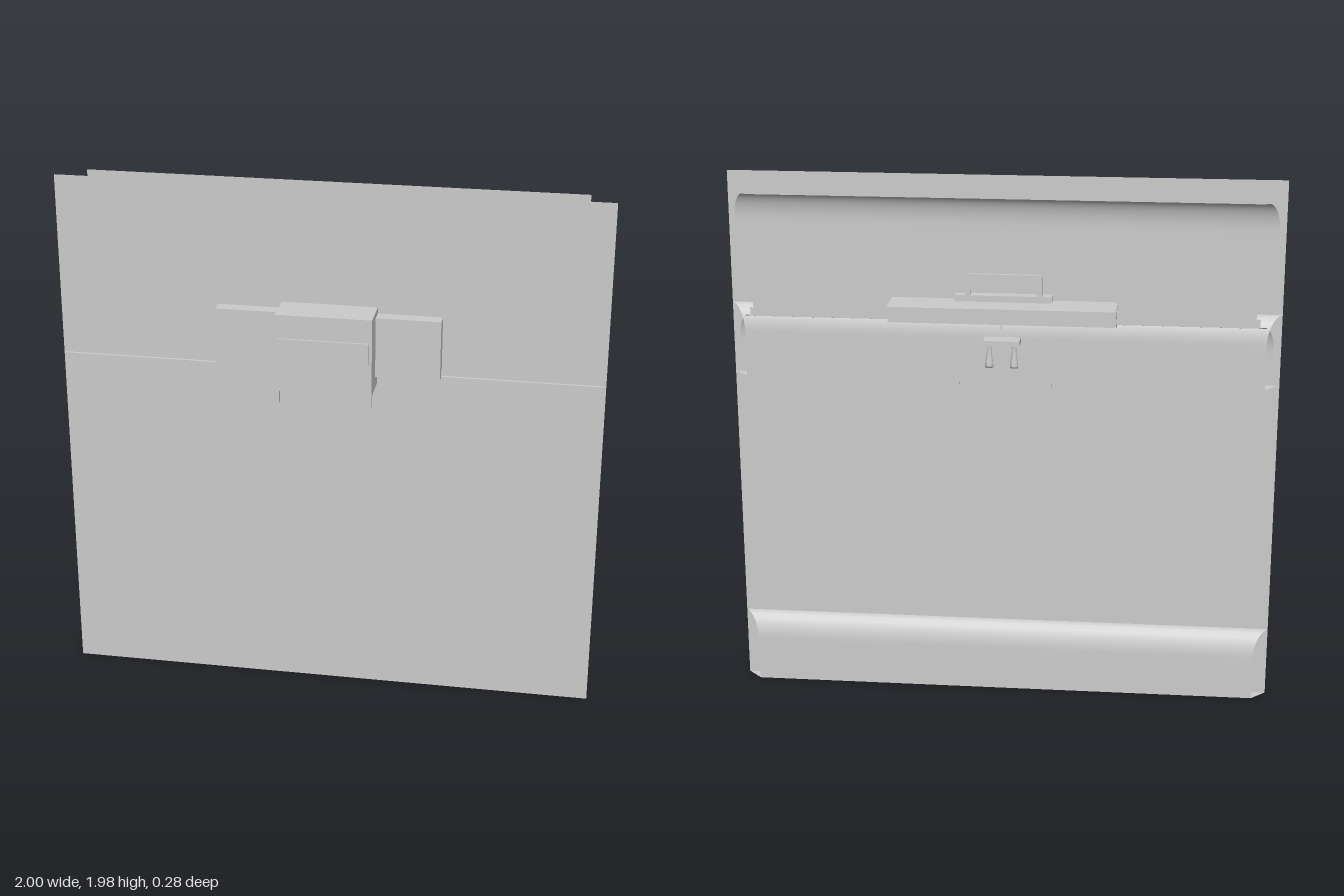
import * as THREE from 'three';
import { toCreasedNormals } from 'three/addons/utils/BufferGeometryUtils.js';

const material = new THREE.MeshStandardMaterial({ color: 0xcccccc, side: THREE.DoubleSide });

function add(parent, name, geometry, x = 0, y = 0, z = 0) {
  const mesh = new THREE.Mesh(geometry, material);
  mesh.name = name;
  mesh.position.set(x, y, z);
  parent.add(mesh);
  return mesh;
}

// Box given by its limits
function block(parent, name, [x0, x1], [y0, y1], [z0, z1]) {
  return add(parent, name, new THREE.BoxGeometry(x1 - x0, y1 - y0, z1 - z0),
    (x0 + x1) / 2, (y0 + y1) / 2, (z0 + z1) / 2);
}

// Quarter ellipse, as [depth, height] pairs
function arc(cd, ch, rd, rh, from, to, n = 12) {
  return Array.from({ length: n + 1 }, (_, i) => {
    const a = from + (to - from) * i / n;
    return [cd + rd * Math.cos(a), ch + rh * Math.sin(a)];
  });
}

// Stepped cove, from the wall upwards
const covePoints = [
  [0, 0], [0.013, 0], [0.013, 0.028], [0.025, 0.028],
  ...arc(0.07, 0.055, 0.045, 0.105, Math.PI, Math.PI / 2),
  [0.08, 0.16], [0.08, 0.193], [0.095, 0.193], [0.095, 0.225],
];
// Board with a rounded top, from its underside upwards
const boardPoints = [[0, 0], [0.054, 0], ...arc(0, 0.165, 0.054, 0.1, 0, Math.PI / 2)];

// Strip along the wall whose ends are mitred at 45 degrees
function mitredTrim(points) {
  const positions = [];
  for (let i = 0; i + 1 < points.length; i++) {
    const [d0, h0] = points[i], [d1, h1] = points[i + 1];
    const a = [-1 + d0, h0, -d0], b = [1 - d0, h0, -d0];
    const c = [1 - d1, h1, -d1], d = [-1 + d1, h1, -d1];
    positions.push(...a, ...c, ...b, ...a, ...d, ...c);
  }
  const geometry = new THREE.BufferGeometry();
  geometry.setAttribute('position', new THREE.Float32BufferAttribute(positions, 3));
  return toCreasedNormals(geometry, 0.5);
}

// Solid with a profile in z and y, extruded along x and centred
function extrudeAlongX(points, width) {
  const shape = new THREE.Shape(points.map(([d, h]) => new THREE.Vector2(d, h)));
  const geometry = new THREE.ExtrudeGeometry(shape, { depth: width, bevelEnabled: false });
  geometry.translate(0, 0, -width / 2).rotateY(Math.PI / 2);
  return toCreasedNormals(geometry, 0.5);
}

export function createModel() {
  const model = new THREE.Group();
  model.name = 'wallWithTrim';

  add(model, 'wall', new THREE.PlaneGeometry(2, 1.98), 0, 0.99, 0);

  // Long mitred trims on the back of the wall
  add(model, 'baseboard', mitredTrim(boardPoints));
  add(model, 'upperBoard', mitredTrim(boardPoints), 0, 1.228, 0);
  add(model, 'crownMoulding', mitredTrim(covePoints), 0, 1.75, 0);
  add(model, 'middleMoulding', mitredTrim(covePoints), 0, 1.3, 0.01);

  // Short solid cornice running through the wall
  const cornice = [...covePoints, [0, 0.225]].map(([d, h]) => [2 * d, h]);
  add(model, 'cornice', extrudeAlongX(cornice, 0.82), 0, 1.3, 0.05);

  // Cabinet with feet, drawer front and a rail above
  const cabinet = new THREE.Group();
  cabinet.name = 'cabinet';
  model.add(cabinet);
  block(cabinet, 'cabinetBody', [-0.175, 0.175], [1.255, 1.548], [-0.04, 0.135]);
  block(cabinet, 'drawerFront', [-0.163, 0.163], [1.38, 1.46], [0.13, 0.142]);
  for (const side of [-1, 1]) {
    for (const z of [-0.035, 0.127]) {
      block(cabinet, 'cabinetFoot', [side * 0.168 - 0.007, side * 0.168 + 0.007], [1.21, 1.26], [z - 0.008, z + 0.008]);
    }
  }
  block(cabinet, 'backStretcher', [-0.135, 0.135], [1.22, 1.24], [-0.048, -0.02]);

  const frame = new THREE.Shape();
  frame.moveTo(-0.14, 0).lineTo(-0.14, 0.07).quadraticCurveTo(-0.14, 0.082, -0.128, 0.082);
  frame.lineTo(0.128, 0.082).quadraticCurveTo(0.14, 0.082, 0.14, 0.07).lineTo(0.14, 0);
  frame.lineTo(0.12, 0).lineTo(0.12, 0.062).lineTo(-0.12, 0.062).lineTo(-0.12, 0);
  add(cabinet, 'topRail', new THREE.ExtrudeGeometry(frame, { depth: 0.012, bevelEnabled: false }), 0, 1.546, -0.044);

  // Small bracket table behind the upper board
  const table = new THREE.Group();
  table.name = 'bracketTable';
  model.add(table);
  block(table, 'tableTop', [-0.065, 0.065], [1.38, 1.4], [-0.113, -0.05]);
  const legProfile = [[0, 0], [0.015, 0], [0.015, 0.008], [0.013, 0.025], [0.008, 0.06], [0.009, 0.082]]
    .map(([r, y]) => new THREE.Vector2(r, y));
  for (const side of [-1, 1]) {
    add(table, 'tableLeg', new THREE.LatheGeometry(legProfile, 16), side * 0.045, 1.3, -0.1);
  }

  // Slim peg under the cornice
  const peg = add(model, 'peg', new THREE.CylinderGeometry(0.004, 0.002, 0.06, 8), 0, 1.455, -0.108);
  peg.rotation.x = Math.PI / 2;

  return model;
}
